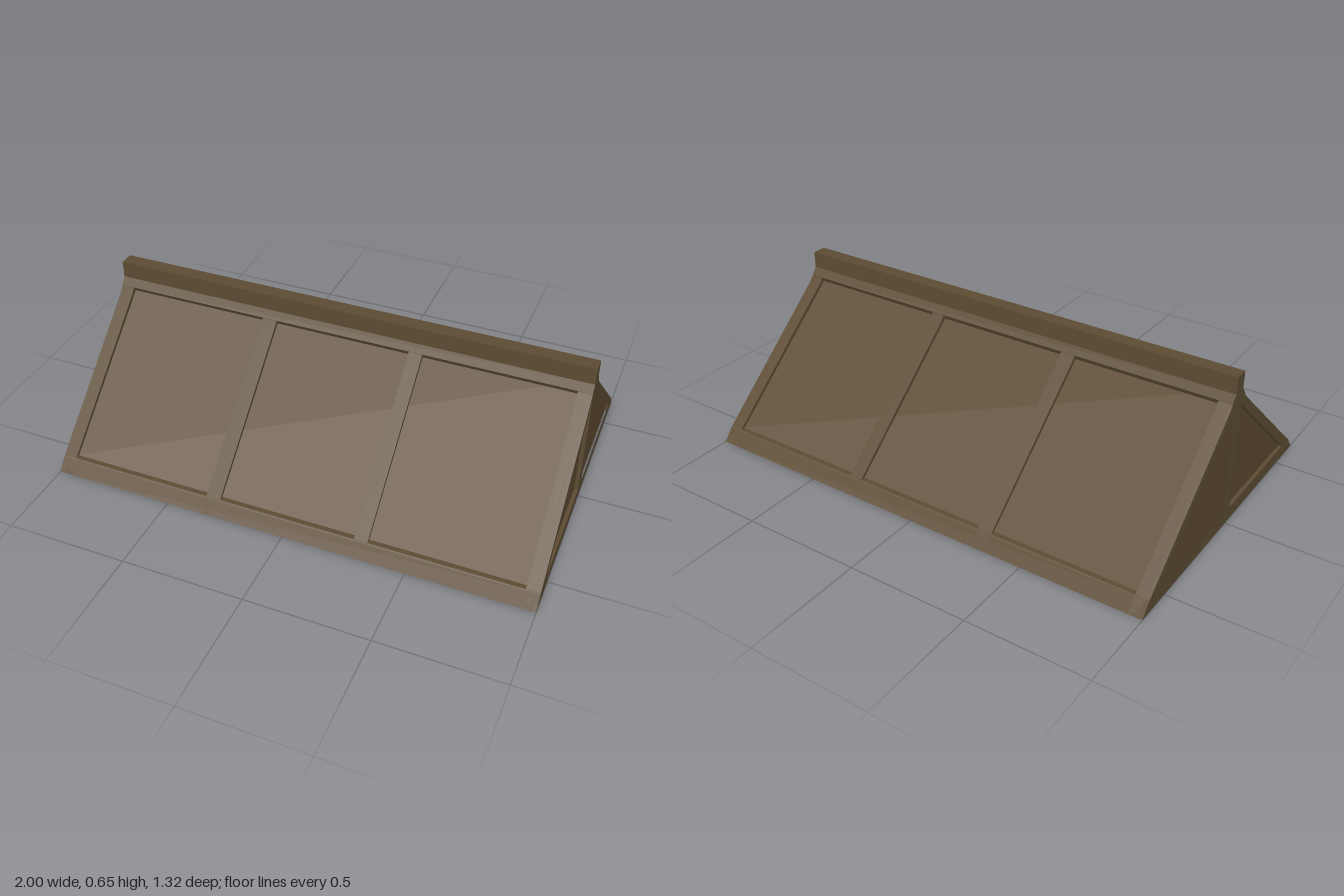
import * as THREE from 'three';

const frameMat = new THREE.MeshStandardMaterial({ color: 0x5c4b33 });
frameMat.name = 'dark wood frame';
const panelMat = new THREE.MeshStandardMaterial({ color: 0x5c4930 });
panelMat.name = 'dark wood panel';
const liningMat = new THREE.MeshStandardMaterial({ color: 0x8c6c45 });
liningMat.name = 'light wood lining';

// Turns a half section of [z, y] points into a closed section mirrored about z = 0
const mirror = (half) => [...half, ...half.map(([z, y]) => [-z, y]).reverse()];

const toShape = (points) => new THREE.Shape(points.map(([z, y]) => new THREE.Vector2(-z, y)));

// Extrudes a [z, y] section along x from x0 to x1
function extrudeX(name, points, x0, x1, material, holes = []) {
  const shape = toShape(points);
  shape.holes = holes.map(toShape);
  const geometry = new THREE.ExtrudeGeometry(shape, { depth: x1 - x0, bevelEnabled: false });
  geometry.rotateY(Math.PI / 2);
  geometry.translate(x0, 0, 0);
  // rotateY maps shape x to -z, so the sign above restores z
  const mesh = new THREE.Mesh(geometry, material);
  mesh.name = name;
  return mesh;
}

export function createModel() {
  const group = new THREE.Group();
  group.name = 'gableRoof';

  // Outer outline: flared eave, straight slope, curved neck and ridge
  const outer = [[0.66, 0], [0.62, 0.05], [0.07, 0.526], [0.05, 0.55], [0.03, 0.58], [0.03, 0.65]];
  const outline = mirror(outer);
  // A band open towards the bottom, between a half outline and the inner slope
  const band = (half, foot, apex) => [...mirror(half), [-foot, 0], [0, apex], [foot, 0]];

  // Sunken roof panels and their lighter inner lining
  group.add(extrudeX('roofPanels', band([[0.595, 0.055], [0, 0.5655]], 0.6, 0.515), -0.95, 0.95, panelMat));
  group.add(extrudeX('roofLining', band([[0.6, 0], [0, 0.515]], 0.596, 0.511), -0.95, 0.95, liningMat));

  // Ridge beam with the upper lip of the panel openings
  const ridge = [[0, 0.52], [0.041, 0.53], [0.052, 0.55], [0.03, 0.58], [0.03, 0.65]];
  group.add(extrudeX('ridgeBeam', mirror(ridge), -1, 1, frameMat));

  // Eave rails on both long sides
  for (const s of [1, -1]) {
    const rail = [[0.66, 0], [0.62, 0.05], [0.615, 0.055], [0.59, 0.055], [0.59, 0.0]];
    group.add(extrudeX(s > 0 ? 'frontEaveRail' : 'backEaveRail', rail.map(([z, y]) => [s * z, y]), -1, 1, frameMat));
  }

  // Rafters between the panels, with narrow strips showing inside
  for (const [x0, x1] of [[-0.345, -0.285], [0.28, 0.335]]) {
    group.add(extrudeX('rafter', band(outer, 0.6, 0.515), x0, x1, frameMat));
    const mid = (x0 + x1) / 2;
    group.add(extrudeX('innerRafterStrip', band([[0.597, 0], [0, 0.512]], 0.592, 0.507), mid - 0.022, mid + 0.022, frameMat));
  }

  // Gable ends: framed face, sunken wall, inner lining and post strip
  const openings = [1, -1].map((s) => [[s * 0.55, 0.055], [s * 0.03, 0.055], [s * 0.03, 0.512]]);
  for (const s of [1, -1]) {
    const add = (name, points, a, b, material, holes) =>
      group.add(extrudeX(name, points, Math.min(s * a, s * b), Math.max(s * a, s * b), material, holes));
    add('gableFrame', outline, 0.985, 1, frameMat, openings);
    add('gableStile', outline, 0.945, 0.975, frameMat);
    add('gablePanel', outline, 0.975, 0.985, panelMat);
    add('gableLining', [[0.6, 0.001], [0, 0.515], [-0.6, 0.001]], 0.941, 0.945, liningMat);
    add('innerPostStrip', [[0.02, 0.001], [0.02, 0.49], [-0.02, 0.49], [-0.02, 0.001]], 0.938, 0.941, frameMat);
  }
  return group;
}
